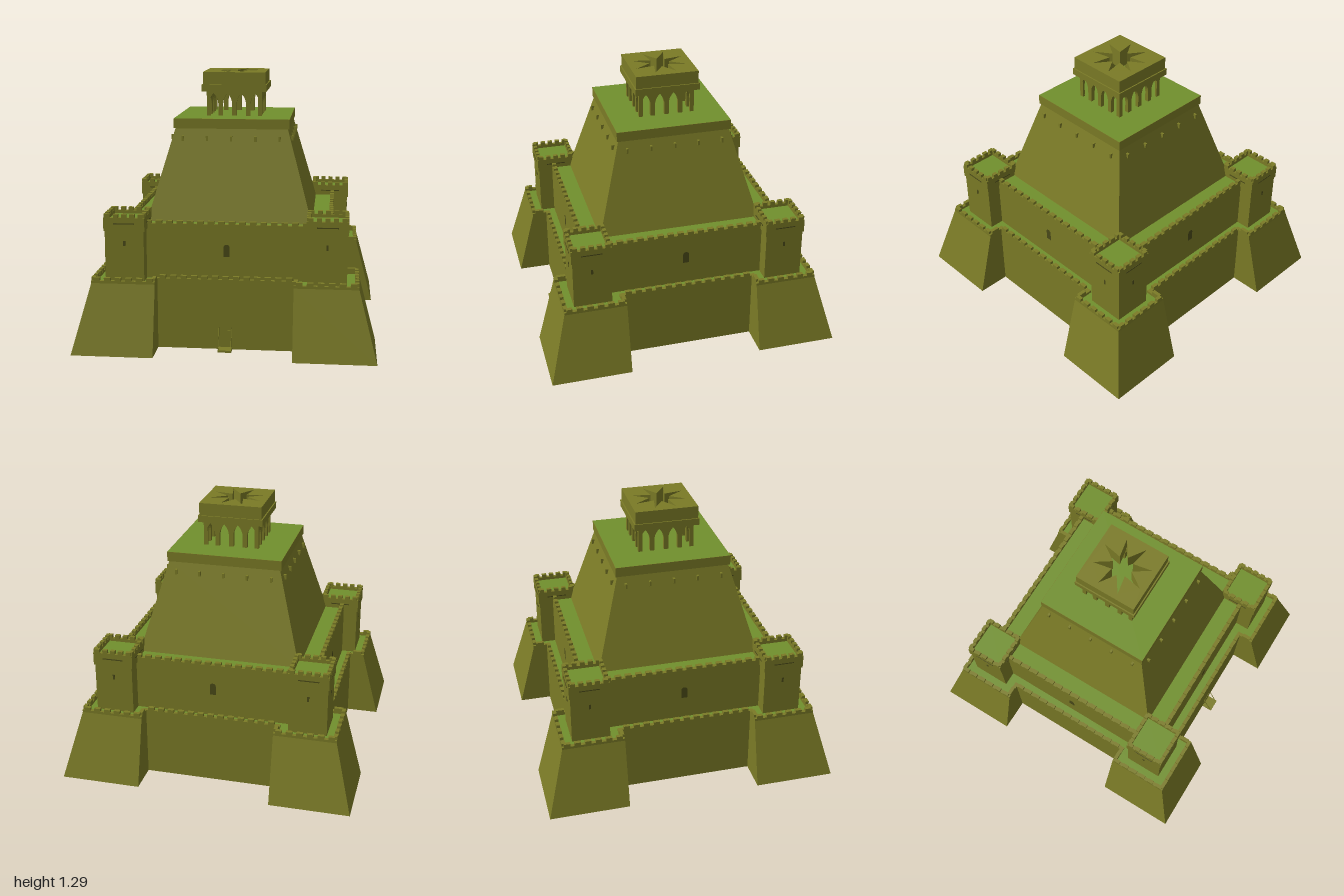
import * as THREE from 'three';
import { mergeGeometries } from 'three/addons/utils/BufferGeometryUtils.js';

const mat = (name, color) => {
  const m = new THREE.MeshStandardMaterial({ color, flatShading: true, side: THREE.DoubleSide });
  m.name = name;
  return m;
};

export function createModel() {
  const olive = mat('olive stone', 0x7b7b26);
  const green = mat('green deck', 0x71902d);
  const dark = mat('dark opening', 0x4a4a18);

  const root = new THREE.Group();
  root.name = 'fortress';
  const body = new THREE.Group();
  body.name = 'fortressBody';
  body.rotation.y = -0.637; // the plan stands askew to the axes
  root.add(body);

  const add = (name, geo, material) => {
    const m = new THREE.Mesh(geo, material);
    m.name = name;
    body.add(m);
    return m;
  };
  const box = (w, h, d, x, y, z) => new THREE.BoxGeometry(w, h, d).translate(x, y, z);
  // Repeats geometries on all four sides
  const fourSides = (geos) => mergeGeometries([0, 1, 2, 3].flatMap((k) =>
    geos.map((g) => g.clone().rotateY(k * Math.PI / 2))));

  // Plans are lists of [x, z]
  const square = (h, cx = 0, cz = 0) =>
    [[1, -1], [1, 1], [-1, 1], [-1, -1]].map(([x, z]) => [cx + x * h, cz + z * h]);
  const bastionPlan = (c, i, h) => {
    const pts = [];
    for (let k = 0; k < 4; k++) {
      for (const [x, z] of [[c, i], [h, i], [h, h], [i, h], [i, c]]) {
        pts.push([[x, z], [-z, x], [-x, -z], [z, -x]][k]);
      }
    }
    return pts;
  };
  const toShape = (pts) => new THREE.Shape(pts.map(([x, z]) => new THREE.Vector2(x, z)));
  const deck = (pts, y) => new THREE.ShapeGeometry(toShape(pts)).rotateX(Math.PI / 2).translate(0, y, 0);
  const slab = (pts, hole, y0, y1) => {
    const s = toShape(pts);
    if (hole) s.holes.push(toShape(hole));
    return new THREE.ExtrudeGeometry(s, { depth: y1 - y0, bevelEnabled: false })
      .rotateX(Math.PI / 2).translate(0, y1, 0);
  };
  // Open wall between a lower and an upper plan
  const loft = (low, y0, high, y1) => {
    const pos = [];
    low.forEach((a, n) => {
      const m = (n + 1) % low.length;
      const A = [a[0], y0, a[1]], B = [low[m][0], y0, low[m][1]];
      const C = [high[m][0], y1, high[m][1]], D = [high[n][0], y1, high[n][1]];
      pos.push(...A, ...C, ...B, ...A, ...D, ...C);
    });
    const g = new THREE.BufferGeometry();
    g.setAttribute('position', new THREE.Float32BufferAttribute(pos, 3));
    g.computeVertexNormals();
    return g;
  };
  // Merlons along every edge of a plan
  const merlons = (pts, y0, y1, t, pitch) => {
    const out = [];
    pts.forEach(([ax, az], n) => {
      const [bx, bz] = pts[(n + 1) % pts.length];
      const len = Math.hypot(bx - ax, bz - az);
      const dx = (bx - ax) / len, dz = (bz - az) / len;
      const count = Math.max(1, Math.round(len / pitch)), step = len / count;
      for (let k = 0; k < count; k++) {
        const s = (k + 0.5) * step;
        out.push(new THREE.BoxGeometry(step * 0.6, y1 - y0, t)
          .rotateY(Math.atan2(-dz, dx))
          .translate(ax + dx * s - dz * t / 2, (y0 + y1) / 2, az + dz * s + dx * t / 2));
      }
    });
    return mergeGeometries(out);
  };

  // Lower wall with four sloping corner bastions, open underneath
  const T = 0.018;
  const foot = bastionPlan(0.555, 0.325, 0.715);
  const crest = bastionPlan(0.555, 0.325, 0.628);
  add('lowerWall', loft(foot, 0, crest, 0.33), olive);
  add('lowerDeck', deck(crest, 0.328), green);
  add('lowerParapet', slab(crest, bastionPlan(0.555 - T, 0.325 + T, 0.628 - T), 0.329, 0.342), olive);
  add('lowerMerlons', merlons(crest, 0.342, 0.357, T, 0.05), olive);

  // Middle storey
  add('middleWall', loft(square(0.5), 0.328, square(0.5), 0.585), olive);
  add('middleDeck', deck(square(0.5), 0.583), green);
  add('middleParapet', slab(square(0.5), square(0.48), 0.584, 0.596), olive);
  add('middleMerlons', merlons(square(0.5), 0.596, 0.61, 0.02, 0.05), olive);
  const arch = new THREE.Shape();
  arch.moveTo(-0.015, 0.44).lineTo(0.015, 0.44).lineTo(0.015, 0.485);
  arch.absarc(0, 0.485, 0.015, 0, Math.PI, false);
  add('middleWindows', fourSides([new THREE.ShapeGeometry(arch).translate(0, 0, 0.502)]), dark);

  // Corner towers
  for (const sx of [-1, 1]) {
    for (const sz of [-1, 1]) {
      const p = 0.478, cx = sx * p, cz = sz * p;
      const shaft = square(0.093, cx, cz), head = square(0.098, cx, cz), inner = square(0.08, cx, cz);
      add('towerShaft', slab(shaft, null, 0.328, 0.57), olive);
      add('towerHead', slab(head, inner, 0.57, 0.635), olive);
      add('towerDeck', deck(inner, 0.62), green);
      add('towerMerlons', merlons(head, 0.635, 0.652, T, 0.04), olive);
      const slits = [0, 1, 2, 3].flatMap((k) => [
        box(0.01, 0.025, 0.004, 0, 0.512, 0.093).rotateY(k * Math.PI / 2),
        box(0.1, 0.005, 0.004, 0, 0.607, 0.098).rotateY(k * Math.PI / 2)]);
      add('towerSlits', mergeGeometries(slits).translate(cx, 0, cz), dark);
    }
  }

  // Tapering keep with a cornice, a green roof and drain spouts
  add('keep', loft(square(0.4), 0.584, square(0.275), 1.025), olive);
  add('keepCornice', slab(square(0.283), square(0.272), 1.025, 1.073), olive);
  add('keepRoof', deck(square(0.282), 1.0735), green);
  const spouts = [-2, -1, 0, 1, 2].map((k) => box(0.01, 0.024, 0.016, k * 0.118, 0.978, 0.292));
  add('keepSpouts', fourSides(spouts), olive);

  // Arcade of pointed arches
  const W = 0.138, bays = 4, bay = 2 * W / bays;
  const panel = new THREE.Shape();
  panel.moveTo(-W, 1.073).lineTo(-W, 1.2).lineTo(W, 1.2).lineTo(W, 1.073);
  for (let k = bays - 1; k >= 0; k--) {
    const c = -W + (k + 0.5) * bay, r = bay * 0.34;
    panel.lineTo(c + r, 1.073).lineTo(c + r, 1.13);
    panel.quadraticCurveTo(c + r, 1.16, c, 1.185);
    panel.quadraticCurveTo(c - r, 1.16, c - r, 1.13);
    panel.lineTo(c - r, 1.073);
  }
  const arcade = new THREE.ExtrudeGeometry(panel, { depth: 0.02, bevelEnabled: false, curveSegments: 5 })
    .translate(0, 0, W - 0.02);
  add('pavilionArcade', fourSides([arcade]), olive);

  // Pavilion roof pierced by an eight-pointed star
  const star = Array.from({ length: 16 }, (_, k) => {
    const a = (k + 1) * Math.PI / 8, r = k % 2 ? 0.05 : 0.138;
    return [r * Math.cos(a), r * Math.sin(a)];
  });
  add('pavilionRim', slab(square(0.161), star, 1.195, 1.228), olive);
  add('pavilionRoof', slab(square(0.155), star, 1.228, 1.29), olive);

  // Lowered bridge and its chains at the gate
  add('gateBridge', box(0.065, 0.01, 0.055, 0, 0.006, 0.582), olive);
  const chains = [-0.03, 0.03].map((x) => new THREE.TubeGeometry(new THREE.LineCurve3(
    new THREE.Vector3(x, 0.01, 0.6), new THREE.Vector3(x, 0.11, 0.556)), 1, 0.002, 4));
  add('gateChains', mergeGeometries(chains), olive);
  add('gateDoor', box(0.05, 0.095, 0.004, 0, 0.0475, 0.555), olive);

  return root;
}
